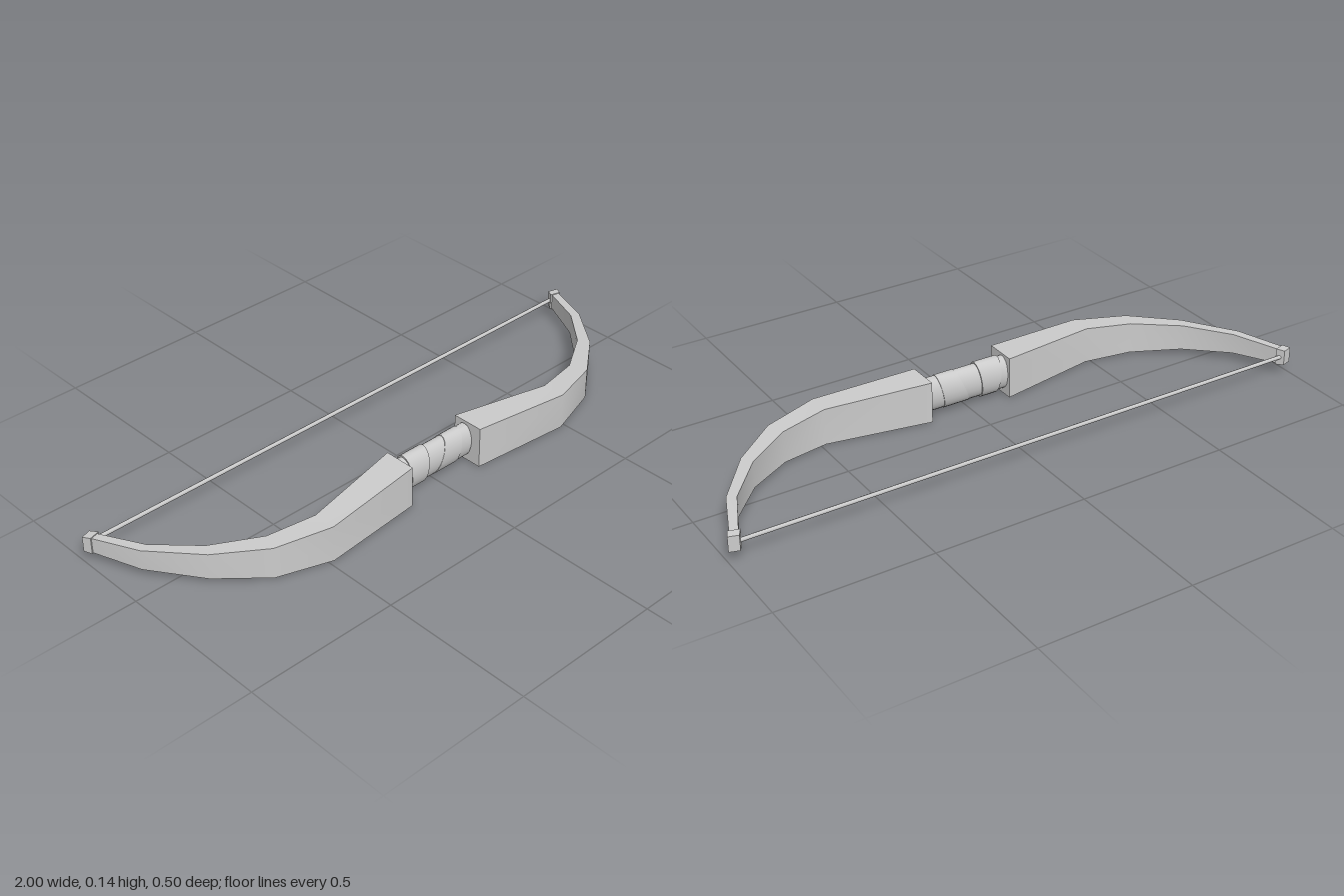
import * as THREE from 'three';
import { toCreasedNormals } from 'three/addons/utils/BufferGeometryUtils.js';

const material = new THREE.MeshStandardMaterial({ color: 0xcccccc });

// Four-sided loft; station: [outerX, outerZ, innerX, innerZ, bottomY, topY]
function loft(stations, side) {
  const pos = [], index = [];
  const tri = (a, b, c) => (side > 0 ? index.push(a, b, c) : index.push(a, c, b));
  stations.forEach(([ox, oz, ix, iz, y0, y1]) => pos.push(
    side * ox, y0, oz, side * ox, y1, oz, side * ix, y1, iz, side * ix, y0, iz));
  for (let i = 0; i < stations.length - 1; i++) {
    for (let k = 0; k < 4; k++) {
      const a = i * 4 + k, b = i * 4 + (k + 1) % 4;
      tri(a, a + 4, b + 4);
      tri(a, b + 4, b);
    }
  }
  const e = (stations.length - 1) * 4;
  tri(0, 1, 2); tri(0, 2, 3);
  tri(e, e + 2, e + 1); tri(e, e + 3, e + 2);
  const geo = new THREE.BufferGeometry();
  geo.setAttribute('position', new THREE.Float32BufferAttribute(pos, 3));
  geo.setIndex(index);
  return toCreasedNormals(geo, 0.7);
}

// Oval sleeve along x whose two ends slant by their own amounts
function sleeve(x0, x1, ry, rz, slant0 = 0, slant1 = 0) {
  const geo = new THREE.CylinderGeometry(1, 1, 1, 20).rotateZ(-Math.PI / 2);
  const p = geo.attributes.position;
  for (let i = 0; i < p.count; i++) {
    const atEnd = p.getX(i) > 0, y = p.getY(i), z = p.getZ(i);
    p.setXYZ(i, (atEnd ? x1 : x0) + (atEnd ? slant1 : slant0) * y, y * ry, z * rz);
  }
  return toCreasedNormals(geo, 0.7);
}

export function createModel() {
  const group = new THREE.Group();
  const add = (name, geo, x = 0, y = 0, z = 0) => {
    const mesh = new THREE.Mesh(geo, material);
    mesh.name = name;
    mesh.position.set(x, y, z);
    group.add(mesh);
    return mesh;
  };

  // Curved limbs and tip bands, mirrored
  const limb = [
    [0.142, 0.217, 0.142, 0.11, 0.001, 0.14],
    [0.483, 0.248, 0.483, 0.172, 0.001, 0.123],
    [0.66, 0.195, 0.638, 0.138, 0.007, 0.113],
    [0.803, 0.083, 0.782, 0.046, 0.018, 0.105],
    [0.923, -0.07, 0.894, -0.082, 0.029, 0.097],
    [0.993, -0.238, 0.969, -0.247, 0.039, 0.088],
  ];
  const band = [
    [0.988, -0.216, 0.953, -0.226, 0.036, 0.092],
    [1.0, -0.24, 0.968, -0.25, 0.039, 0.09],
  ];
  for (const side of [1, -1]) {
    const label = side > 0 ? 'left' : 'right';
    add(label + 'Limb', loft(limb, side));
    add(label + 'TipBand', loft(band, side));
  }

  // Oval grip with slanted wraps
  const gy = 0.076, gz = 0.153;
  add('gripCore', sleeve(-0.145, 0.145, 0.054, 0.03), 0, gy, gz);
  const wraps = [
    [-0.142, -0.105, 0.057, 0.034, 0, -0.008],
    [-0.115, -0.045, 0.063, 0.037, -0.006, 0.008],
    [-0.05, 0.03, 0.058, 0.033, 0.01, 0.025],
    [0.015, 0.095, 0.06, 0.034, 0.025, 0.012],
    [0.08, 0.138, 0.058, 0.032, 0.012, 0],
  ];
  wraps.forEach((w, i) => add('gripWrap' + (i + 1), sleeve(...w), 0, gy, gz));

  // Bowstring
  add('string', new THREE.CylinderGeometry(0.0065, 0.0065, 1.95, 8).rotateZ(Math.PI / 2), 0, 0.064, -0.236);

  return group;
}
